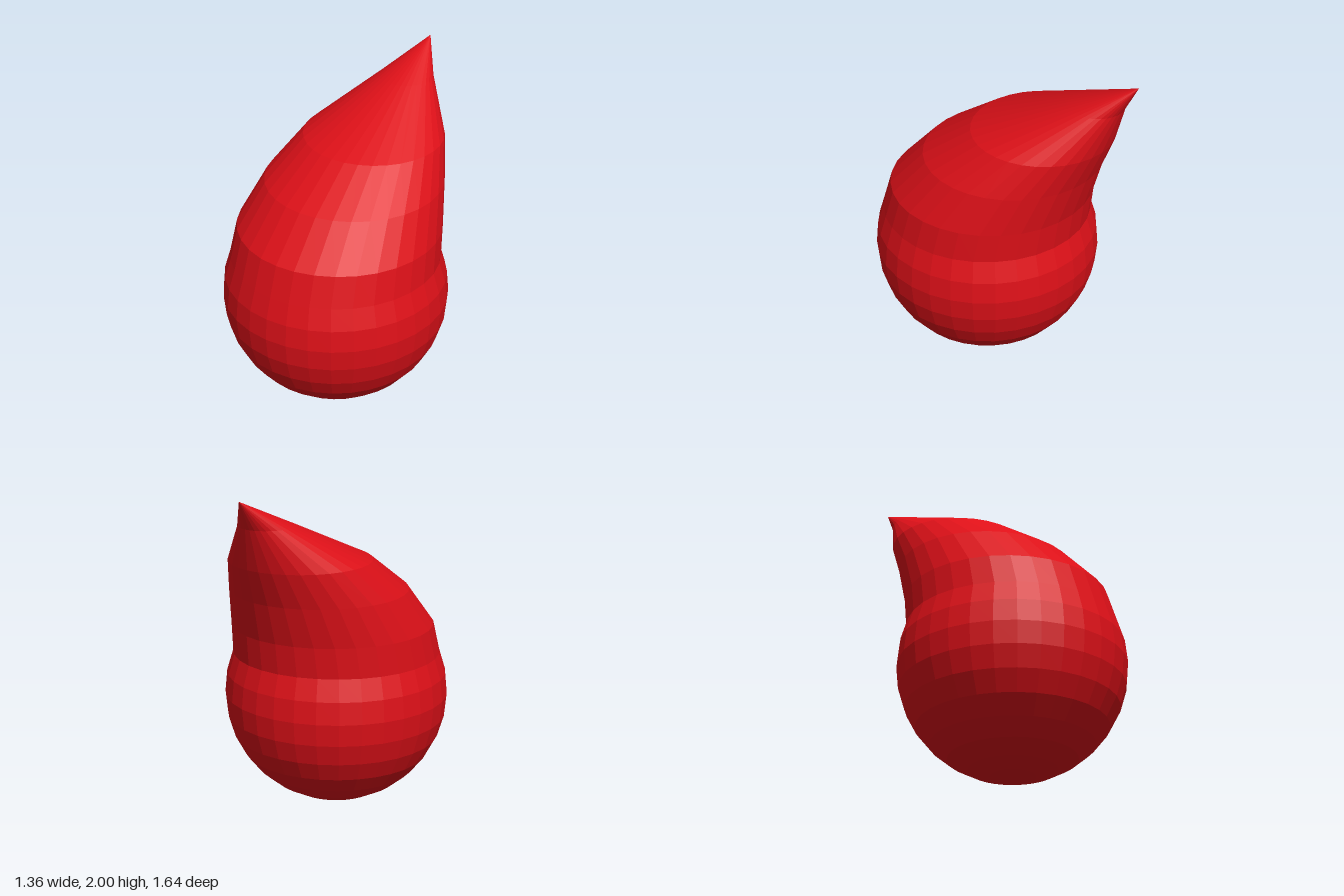
import * as THREE from 'three';

export function createModel() {
  const group = new THREE.Group();
  const radius = 0.68, centreY = 0.685, centreZ = 0.14, step = Math.PI / 16;

  // Rings as [radius, y, z offset, x offset]: the round lower body first
  const rings = [];
  for (let k = 0; k <= 10; k++) {
    rings.push([radius * Math.sin(k * step), centreY - radius * Math.cos(k * step), centreZ, 0]);
  }
  // Upper rings shrink and lean back to a pointed tip
  rings.push(
    [0.61, 1.13, 0.1, 0.002],
    [0.533, 1.37, -0.045, 0.004],
    [0.42, 1.58, -0.24, 0.006],
    [0.162, 1.83, -0.572, 0.01],
    [0, 2, -0.82, 0.015],
  );

  // Turn the profile, then slide each ring to its own centre
  const geometry = new THREE.LatheGeometry(rings.map(([r, y]) => new THREE.Vector2(r, y)), 32);
  const pos = geometry.attributes.position;
  for (let i = 0; i < pos.count; i++) {
    const [, , dz, dx] = rings[i % rings.length];
    pos.setX(i, pos.getX(i) + dx);
    pos.setZ(i, pos.getZ(i) + dz);
  }
  geometry.computeVertexNormals();

  const material = new THREE.MeshStandardMaterial({ color: 0xdd1018, flatShading: true });
  const drop = new THREE.Mesh(geometry, material);
  drop.name = 'leaningDrop';
  group.add(drop);
  return group;
}
